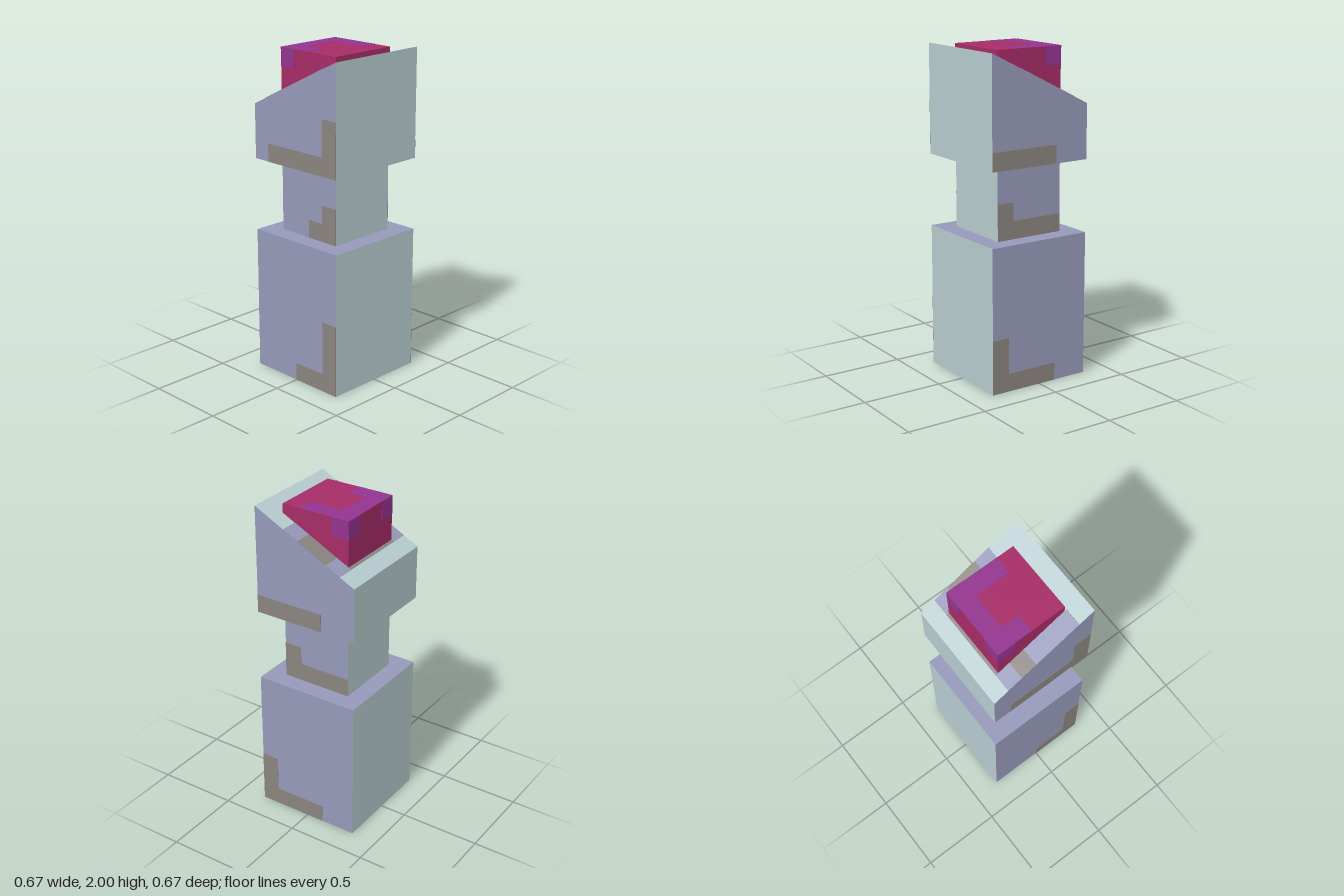
import * as THREE from 'three';

const U = 1 / 9; // one design unit

export function createModel() {
  const model = new THREE.Group();
  const mat = (name, color) => new THREE.MeshStandardMaterial({ name, color });
  const pale = mat('pale grey green', 0xb7cccf);
  const blue = mat('dusty blue', 0x9599b9);
  const brown = mat('warm grey', 0x8a847f);
  const red = mat('crimson', 0xa62c66);
  const purple = mat('purple', 0x93348f);

  // Square block standing on y; materials in order +x -x +y -y +z -z
  function block(name, half, y, height, mats) {
    const geo = new THREE.BoxGeometry(half * 2, height, half * 2);
    geo.translate(0, y + height / 2, 0);
    const mesh = new THREE.Mesh(geo, mats);
    mesh.name = name;
    model.add(mesh);
    return geo;
  }

  // Thin painted plate from an outline
  function plate(name, points, material, pos, rx, ry) {
    const shape = new THREE.Shape(points.map(([x, y]) => new THREE.Vector2(x, y)));
    const geo = new THREE.ExtrudeGeometry(shape, { depth: 0.002, bevelEnabled: false });
    const mesh = new THREE.Mesh(geo, material);
    mesh.name = name;
    mesh.position.set(...pos);
    mesh.rotation.set(rx, ry, 0);
    model.add(mesh);
  }
  const rect = (x0, y0, x1, y1) => [[x0, y0], [x1, y0], [x1, y1], [x0, y1]];

  // Plate on a +x or -x face; outline is given as (z, y)
  const sidePlate = (name, side, half, points, material) =>
    plate(name, points.map(([z, y]) => [-side * z, y]), material,
      [side * half, 0, 0], 0, side * Math.PI / 2);

  // L-shaped stain: low row from z = back to the front edge, taller column in front
  const ell = (back, front, y, rise) => [
    [back, y], [front, y], [front, y + rise], [front - U, y + rise], [front - U, y + U], [back, y + U],
  ];

  // Body blocks
  block('base', 3 * U, 0, 8 * U, [blue, blue, blue, blue, pale, pale]);
  block('neck', 2 * U, 8 * U, 4 * U, [blue, blue, pale, pale, pale, pale]);

  // Head with its top sloping down to the back
  const head = block('head', 3 * U, 12 * U, 6 * U, [blue, blue, pale, pale, pale, pale]);
  const p = head.attributes.position;
  for (let i = 0; i < p.count; i++) {
    if (p.getY(i) > 1.6 && p.getZ(i) < 0) p.setY(i, 15 * U);
  }
  head.computeVertexNormals();

  // Coloured block set into the slope
  block('topBlock', 2 * U, 14 * U, 4 * U, red);

  // Stains on the sides
  sidePlate('baseStainLeft', 1, 3 * U, ell(-U, 3 * U, 0, 3 * U), brown);
  sidePlate('baseStainRight', -1, 3 * U, ell(0, 3 * U, 0, 4 * U), brown);
  sidePlate('neckStainLeft', 1, 2 * U, ell(-2 * U, 2 * U, 8 * U, 2 * U), brown);
  sidePlate('neckStainRight', -1, 2 * U, ell(0, 2 * U, 8 * U, 2 * U), brown);
  sidePlate('headStainLeft', 1, 3 * U, rect(-U, 12 * U, 3 * U, 13 * U), brown);
  sidePlate('headStainRight', -1, 3 * U, ell(-2 * U, 3 * U, 12 * U, 3 * U), brown);

  // Bands on the slope: x range, z range
  const bands = [
    [-3 * U, -2 * U, -0.238, -0.145, blue],
    [-3 * U, -2 * U, -0.145, -0.05, brown],
    [-3 * U, -2 * U, -0.05, 0.235, blue],
    [-2 * U, 2 * U, -0.238, -0.2, brown],
    [2 * U, 3 * U, -0.238, -0.145, blue],
    [2 * U, 3 * U, -0.145, 0.045, brown],
    [2 * U, 3 * U, 0.045, 0.14, blue],
  ];
  const k = Math.hypot(1, 0.5); // stretch along the slope
  for (const [x0, x1, z0, z1, m] of bands) {
    plate('slopeBand', rect(x0, -z1 * k, x1, -z0 * k), m,
      [0, 16.5 * U, 0], -Math.PI / 2 - Math.atan(0.5), 0);
  }

  // Purple paint on the top block: stepped top, then corner patches
  plate('topBlockPaint', [
    [-2, 0], [-1, 0], [-1, 1], [1, 1], [1, -1], [2, -1], [2, 2], [-2, 2],
  ].map(([x, y]) => [x * U, y * U]), purple, [0, 18 * U - 0.001, 0], -Math.PI / 2, 0);
  for (const s of [1, -1]) {
    sidePlate('sidePatch', s, 2 * U, rect(-2 * U, 17 * U, -U, 18 * U), purple);
    plate('backPatch', rect(s > 0 ? U : -2 * U, 17 * U, s > 0 ? 2 * U : -U, 18 * U), purple,
      [0, 0, -2 * U], 0, Math.PI);
  }
  return model;
}
